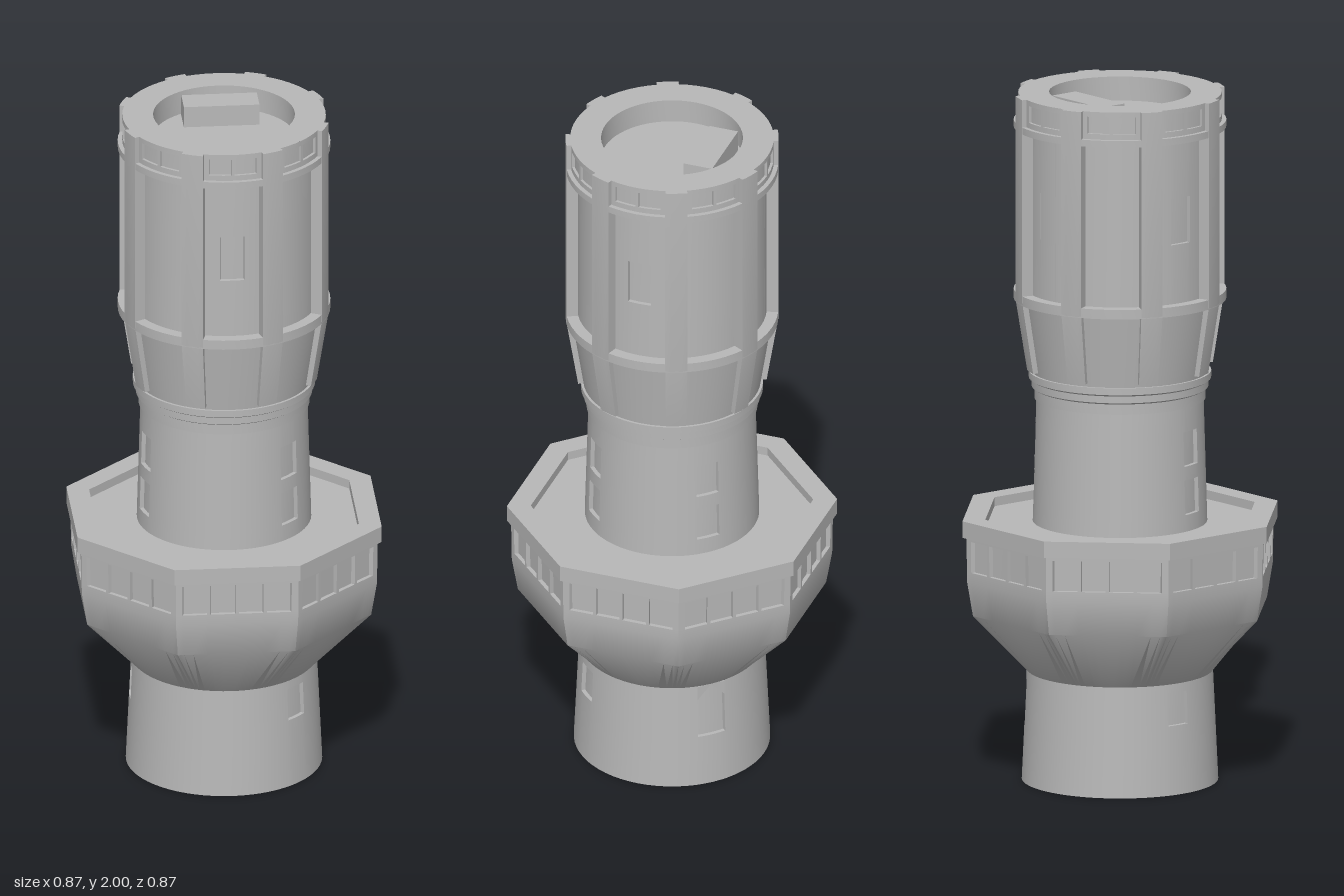
import * as THREE from 'three';
import { toCreasedNormals } from 'three/addons/utils/BufferGeometryUtils.js';

const stone = new THREE.MeshStandardMaterial({ color: 0xb8b8b8 });
stone.name = 'grey stone';

const rad = THREE.MathUtils.degToRad;
const SEG = 64;
const EIGHTH = Math.PI / 4;

// point at angle a (0 = front, positive towards +x)
const polar = (a, r, y) => [r * Math.sin(a), y, r * Math.cos(a)];
// radius of an octagon with flat faces at 0, 45, 90... degrees
const octRadius = (a, half) => half / Math.cos(a - Math.round(a / EIGHTH) * EIGHTH);

function quadGeometry(quads, crease = 0.6) {
  const pos = [];
  for (const [a, b, c, d] of quads) pos.push(...a, ...b, ...c, ...a, ...c, ...d);
  const g = new THREE.BufferGeometry();
  g.setAttribute('position', new THREE.Float32BufferAttribute(pos, 3));
  return toCreasedNormals(g, crease);
}

const uniqueSorted = (list) =>
  list.sort((a, b) => a - b).filter((v, i, all) => i === 0 || v - all[i - 1] > 1e-5);

// Round wall with recessed openings {a0, a1, y0, y1, d}; rows are [y, radius or radius(a)]
function wall(rows, openings = []) {
  const angles = [];
  for (let i = 0; i <= SEG; i++) angles.push(-Math.PI * 1.125 + (i / SEG) * Math.PI * 2);
  const ys = rows.map((r) => r[0]);
  for (const o of openings) {
    angles.push(o.a0, o.a1);
    ys.push(o.y0, o.y1);
  }
  const A = uniqueSorted(angles), Y = uniqueSorted(ys);
  const rowRadius = (row, a) => (typeof row[1] === 'function' ? row[1](a) : row[1]);
  const at = (a, y, d) => {
    let k = 0;
    while (k < rows.length - 2 && y > rows[k + 1][0]) k++;
    const t = (y - rows[k][0]) / (rows[k + 1][0] - rows[k][0]);
    return polar(a, THREE.MathUtils.lerp(rowRadius(rows[k], a), rowRadius(rows[k + 1], a), t) - d, y);
  };
  const near = (p, q) => Math.abs(p - q) < 1e-4;
  const quads = [];
  for (let i = 0; i < A.length - 1; i++) {
    for (let j = 0; j < Y.length - 1; j++) {
      const [a, b, y, z] = [A[i], A[i + 1], Y[j], Y[j + 1]];
      const am = (a + b) / 2, ym = (y + z) / 2;
      const o = openings.find((w) => am > w.a0 && am < w.a1 && ym > w.y0 && ym < w.y1);
      const d = o ? o.d : 0;
      quads.push([at(a, y, d), at(b, y, d), at(b, z, d), at(a, z, d)]);
      if (!o) continue;
      if (near(a, o.a0)) quads.push([at(a, y, 0), at(a, y, d), at(a, z, d), at(a, z, 0)]);
      if (near(b, o.a1)) quads.push([at(b, y, d), at(b, y, 0), at(b, z, 0), at(b, z, d)]);
      if (near(y, o.y0)) quads.push([at(a, y, 0), at(b, y, 0), at(b, y, d), at(a, y, d)]);
      if (near(z, o.y1)) quads.push([at(a, z, d), at(b, z, d), at(b, z, 0), at(a, z, 0)]);
    }
  }
  return quadGeometry(quads);
}

// Curved solid block between two angles; levels are [y, outer radius]
function arcBlock(a0, a1, rIn, levels, n = 4) {
  const quads = [];
  const ang = (i) => a0 + ((a1 - a0) * i) / n;
  const [yb, rb] = levels[0], [yt, rt] = levels[levels.length - 1];
  for (let i = 0; i < n; i++) {
    const a = ang(i), b = ang(i + 1);
    quads.push([polar(a, rIn, yb), polar(b, rIn, yb), polar(b, rb, yb), polar(a, rb, yb)]);
    quads.push([polar(a, rt, yt), polar(b, rt, yt), polar(b, rIn, yt), polar(a, rIn, yt)]);
  }
  for (let k = 0; k < levels.length - 1; k++) {
    const [y, r] = levels[k], [z, s] = levels[k + 1];
    for (let i = 0; i < n; i++) {
      const a = ang(i), b = ang(i + 1);
      quads.push([polar(a, r, y), polar(b, r, y), polar(b, s, z), polar(a, s, z)]);
    }
    quads.push([polar(a0, rIn, y), polar(a0, r, y), polar(a0, s, z), polar(a0, rIn, z)]);
    quads.push([polar(a1, r, y), polar(a1, rIn, y), polar(a1, rIn, z), polar(a1, s, z)]);
  }
  return quadGeometry(quads, 0.3);
}

const lathe = (pts) =>
  toCreasedNormals(new THREE.LatheGeometry(pts.map((p) => new THREE.Vector2(...p)), SEG), 0.5);

// opening centred on an angle in degrees, with a width measured at radius r
const opening = (deg, width, r, y0, y1, d = 0.012) => ({
  a0: rad(deg) - width / 2 / r, a1: rad(deg) + width / 2 / r, y0, y1, d,
});

const octagonPoints = (half) => Array.from({ length: 8 }, (_, i) => {
  const a = (i + 0.5) * EIGHTH, r = half / Math.cos(EIGHTH / 2);
  return new THREE.Vector2(r * Math.cos(a), r * Math.sin(a));
});

export function createModel() {
  const model = new THREE.Group();
  model.name = 'tower';
  const add = (name, geometry, parent = model) => {
    const mesh = new THREE.Mesh(geometry, stone);
    mesh.name = name;
    parent.add(mesh);
    return mesh;
  };

  // Base with two windows and a pointed door
  add('base', wall([[0, 0.28], [0.32, 0.265]], [
    opening(45, 0.07, 0.27, 0.2, 0.295),
    opening(-92, 0.07, 0.27, 0.2, 0.295),
    opening(135, 0.084, 0.268, 0.155, 0.318),
  ]));
  add('baseUnderside', new THREE.CircleGeometry(0.28, SEG).rotateX(Math.PI / 2));

  // Corner fillers that give the door its pointed head
  const door = new THREE.Group();
  door.name = 'doorHead';
  door.rotation.y = rad(135);
  model.add(door);
  for (const s of [-1, 1]) {
    const tri = new THREE.Shape([[0, 0.318], [s * 0.042, 0.275], [s * 0.042, 0.318]]
      .map((p) => new THREE.Vector2(...p)));
    add('doorCorner', new THREE.ExtrudeGeometry(tri, { depth: 0.014, bevelEnabled: false })
      .translate(0, 0, 0.25), door);
  }

  // Round-to-octagon gallery with four windows on each face
  const galleryWindows = [];
  for (let f = 0; f < 8; f++) {
    for (let i = 0; i < 4; i++) {
      const x = (i - 1.5) * 0.08;
      const c = (f - 4) * EIGHTH;
      galleryWindows.push({
        a0: c + Math.atan((x - 0.035) / 0.42), a1: c + Math.atan((x + 0.035) / 0.42),
        y0: 0.63, y1: 0.72, d: 0.012,
      });
    }
  }
  add('gallery', wall([
    [0.32, 0.265],
    [0.5, (a) => octRadius(a, 0.406)],
    [0.6, (a) => octRadius(a, 0.422)],
    [0.735, (a) => octRadius(a, 0.424)],
  ], galleryWindows));

  // Parapet and sunken deck
  const rim = new THREE.Shape(octagonPoints(0.435));
  rim.holes.push(new THREE.Path(octagonPoints(0.372)));
  add('parapet', new THREE.ExtrudeGeometry(rim, { depth: 0.048, bevelEnabled: false })
    .rotateX(-Math.PI / 2).translate(0, 0.73, 0));
  add('deck', new THREE.ExtrudeGeometry(new THREE.Shape(octagonPoints(0.38)),
    { depth: 0.015, bevelEnabled: false }).rotateX(-Math.PI / 2).translate(0, 0.737, 0));

  // Shaft with three pairs of windows
  const shaftWindows = [];
  for (const deg of [45, 135, -73]) {
    for (const y of [0.8, 0.94]) shaftWindows.push(opening(deg, 0.07, 0.244, y, y + 0.1));
  }
  add('shaft', wall([[0.74, 0.249], [1.12, 0.238]], shaftWindows));

  // Stepped collar
  add('collar', lathe([
    [0.23, 1.11], [0.244, 1.11], [0.244, 1.14], [0.252, 1.145], [0.252, 1.165],
    [0.26, 1.17], [0.26, 1.19], [0.24, 1.19],
  ]));

  // Flared foot of the drum, and the drum with four windows
  add('drumFoot', wall([[1.185, 0.252], [1.41, 0.287]]));
  add('drum', wall([[1.41, 0.27], [1.91, 0.27]],
    [-90, 0, 90, 180].map((d) => opening(d, 0.07, 0.27, 1.6, 1.735))));

  // Ring mouldings
  for (const [y, h] of [[1.4, 0.028], [1.9, 0.02]]) {
    add('ring', lathe([[0.26, y], [0.303, y], [0.303, y + h], [0.26, y + h]]));
  }

  // Crown with two windows in each bay
  const crownWindows = [];
  for (let i = 0; i < 8; i++) {
    for (const s of [-1, 1]) {
      crownWindows.push(opening((i - 4) * 45 + s * 7.3, 0.064, 0.29, 1.936, 1.985, 0.008));
    }
  }
  add('crown', wall([[1.91, 0.29], [2, 0.29]], crownWindows));

  // Eight ribs, sloping in at the foot
  for (let i = 0; i < 8; i++) {
    const c = (i + 0.5) * EIGHTH;
    add('rib', arcBlock(c - 0.105, c + 0.105, 0.245, [[1.2, 0.27], [1.41, 0.304], [2, 0.304]]));
  }

  // Roof with a round well and a block inside it
  add('roof', lathe([[0.29, 2], [0.202, 2], [0.202, 1.93], [0, 1.93]]));
  add('roofBlock', new THREE.BoxGeometry(0.216, 0.065, 0.086).translate(0, 1.96, -0.118));

  return model;
}
